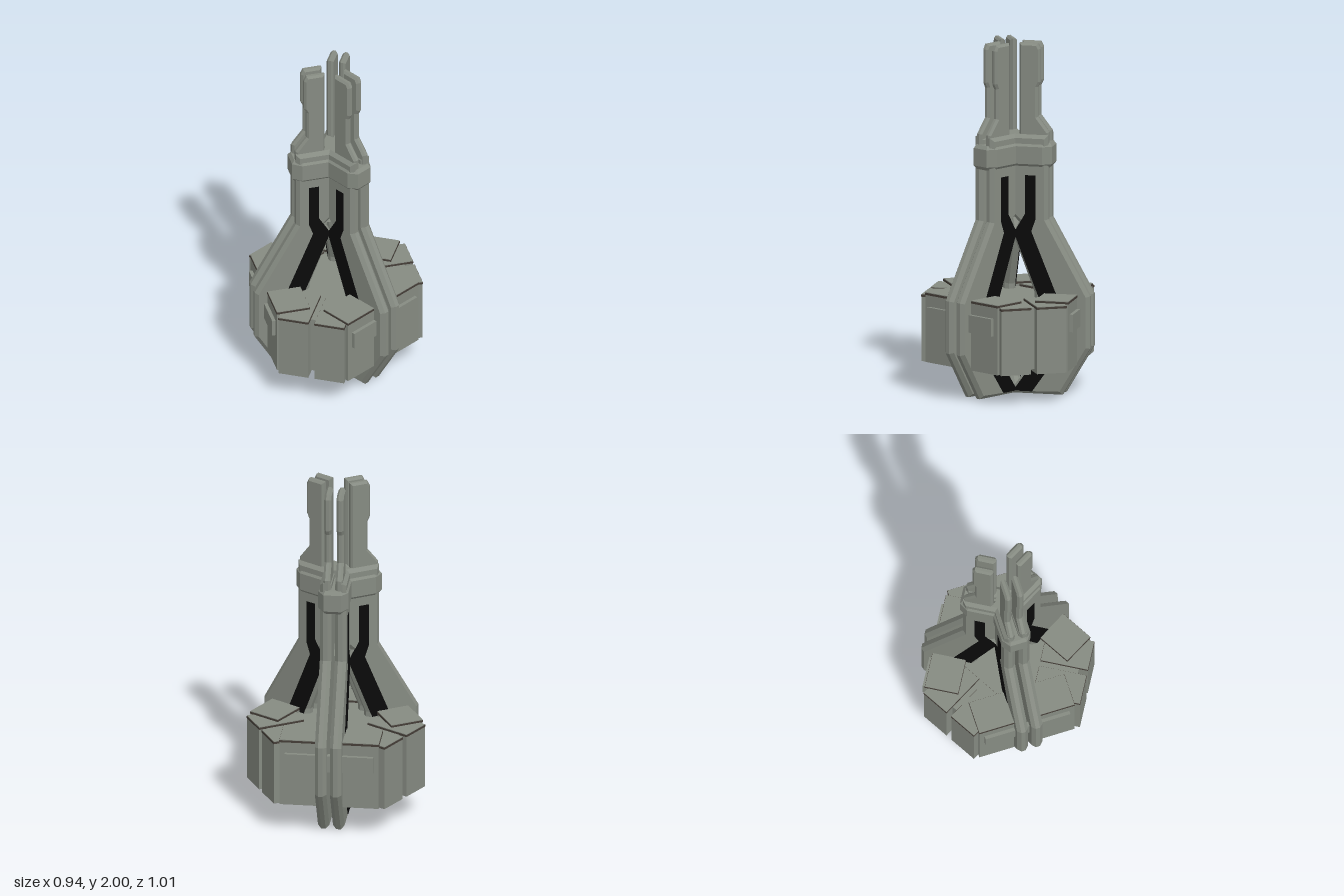
import * as THREE from 'three';

export function createModel() {
  const model = new THREE.Group();
  model.name = 'tripodTower';
  const mat = (name, color) => {
    const m = new THREE.MeshStandardMaterial({ color, flatShading: true });
    m.name = name;
    return m;
  };
  const grey = mat('stone grey metal', 0x868b82);
  const black = mat('black inlay', 0x0a0a0a);
  const brown = mat('dark brown trim', 0x453e38);

  const add = (parent, name, geo, material) => {
    const m = new THREE.Mesh(geo, material);
    m.name = name;
    parent.add(m);
    return m;
  };
  // box given by its min and max corners
  const block = (parent, name, material, x0, x1, y0, y1, z0, z1) => {
    const m = add(parent, name, new THREE.BoxGeometry(x1 - x0, y1 - y0, z1 - z0), material);
    m.position.set((x0 + x1) / 2, (y0 + y1) / 2, (z0 + z1) / 2);
  };
  const shape = (pts) => new THREE.Shape(pts.map((p) => new THREE.Vector2(p[0], p[1])));
  // chamfered slab of the outline between z0 and z1
  const slab = (pts, z0, z1, thick, size) => {
    const g = new THREE.ExtrudeGeometry(shape(pts), {
      depth: z1 - z0 - 2 * thick, bevelEnabled: thick > 0, bevelThickness: thick,
      bevelSize: size, bevelOffset: -size, bevelSegments: 1,
    });
    g.translate(0, 0, z0 + thick);
    return g;
  };

  // profiles: x runs outward from the axis, y is up
  const legOutline = [
    [0, 0], [0.31, 0], [0.47, 0.27], [0.47, 0.57], [0.23, 1.0], [0.23, 1.48],
    [0, 1.48], [0, 1.04], [0.06, 0.98], [0.025, 0.91], [0.15, 0.58], [0.15, 0.2],
  ];
  const bladeOutline = [
    [0.06, 1.4], [0.23, 1.4], [0.23, 1.495], [0.165, 1.58], [0.165, 1.75],
    [0.18, 1.78], [0.18, 1.97], [0.165, 2], [0.06, 2],
  ];
  const upperInlay = [
    [0.1, 1.25], [0.1, 1.03], [0.035, 0.92], [0.18, 0.55], [0.29, 0.55],
    [0.135, 0.93], [0.16, 1.0], [0.16, 1.25],
  ];
  const lowerInlay = [[0.03, 0.015], [0.14, 0.015], [0.27, 0.2], [0.16, 0.2]];
  const collarOutline = [
    [-0.02, -0.085], [0.2, -0.085], [0.25, -0.05], [0.25, 0.05], [0.2, 0.085], [-0.02, 0.085],
  ];

  // a block with a thin brown seam just below its top
  const pod = (parent, name, x0, x1, top, z0, z1) => {
    block(parent, name, grey, x0, x1, 0.18, top, z0, z1);
    const e = 0.002;
    block(parent, name + 'Seam', brown, x0 - e, x1 + e, top - 0.016, top - 0.004, z0 - e, z1 + e);
  };

  for (let i = 0; i < 3; i++) {
    // twin-plate leg with its blades, inlays, collar and side pods
    const leg = new THREE.Group();
    leg.name = 'leg' + (i + 1);
    leg.rotation.y = Math.PI + (i * 2 * Math.PI) / 3;
    model.add(leg);
    for (const s of [-1, 1]) {
      const span = (a, b) => (s > 0 ? [a, b] : [-b, -a]);
      add(leg, 'legPlate', slab(legOutline, ...span(0.01, 0.075), 0.02, 0.02), grey);
      add(leg, 'topBlade', slab(bladeOutline, ...span(0.015, 0.055), 0.012, 0.012), grey);
      for (const inlay of [upperInlay, lowerInlay]) {
        add(leg, 'legInlay', slab(inlay, ...span(0.072, 0.077), 0, 0), black);
      }
      pod(leg, 'legPod', 0.21, 0.4, 0.58, ...span(0.075, 0.28));
    }
    // crossbar plate on the outside of the pods
    block(leg, 'crossbarPlate', grey, 0.39, 0.42, 0.4, 0.5, -0.25, 0.25);
    // collar arm
    const collar = slab(collarOutline, 0, 0.14, 0.02, 0.015);
    collar.rotateX(-Math.PI / 2);
    collar.translate(0, 1.295, 0);
    add(leg, 'collarArm', collar, grey);

    // pair of pods midway between two legs
    const bay = new THREE.Group();
    bay.name = 'bay' + (i + 1);
    bay.rotation.y = (i * 2 * Math.PI) / 3;
    model.add(bay);
    pod(bay, 'bayPod', 0.2, 0.47, 0.565, 0.018, 0.19);
    pod(bay, 'bayPod', 0.2, 0.47, 0.565, -0.19, -0.018);
    block(bay, 'bayFiller', grey, 0.15, 0.42, 0.2, 0.55, -0.03, 0.03);
  }

  // core joining the pods, and the hub between the blades
  const core = add(model, 'core', new THREE.CylinderGeometry(0.28, 0.28, 0.35, 12), grey);
  core.position.y = 0.375;
  const hub = add(model, 'hub', new THREE.CylinderGeometry(0.06, 0.06, 0.1, 6), grey);
  hub.position.y = 1.43;

  return model;
}
